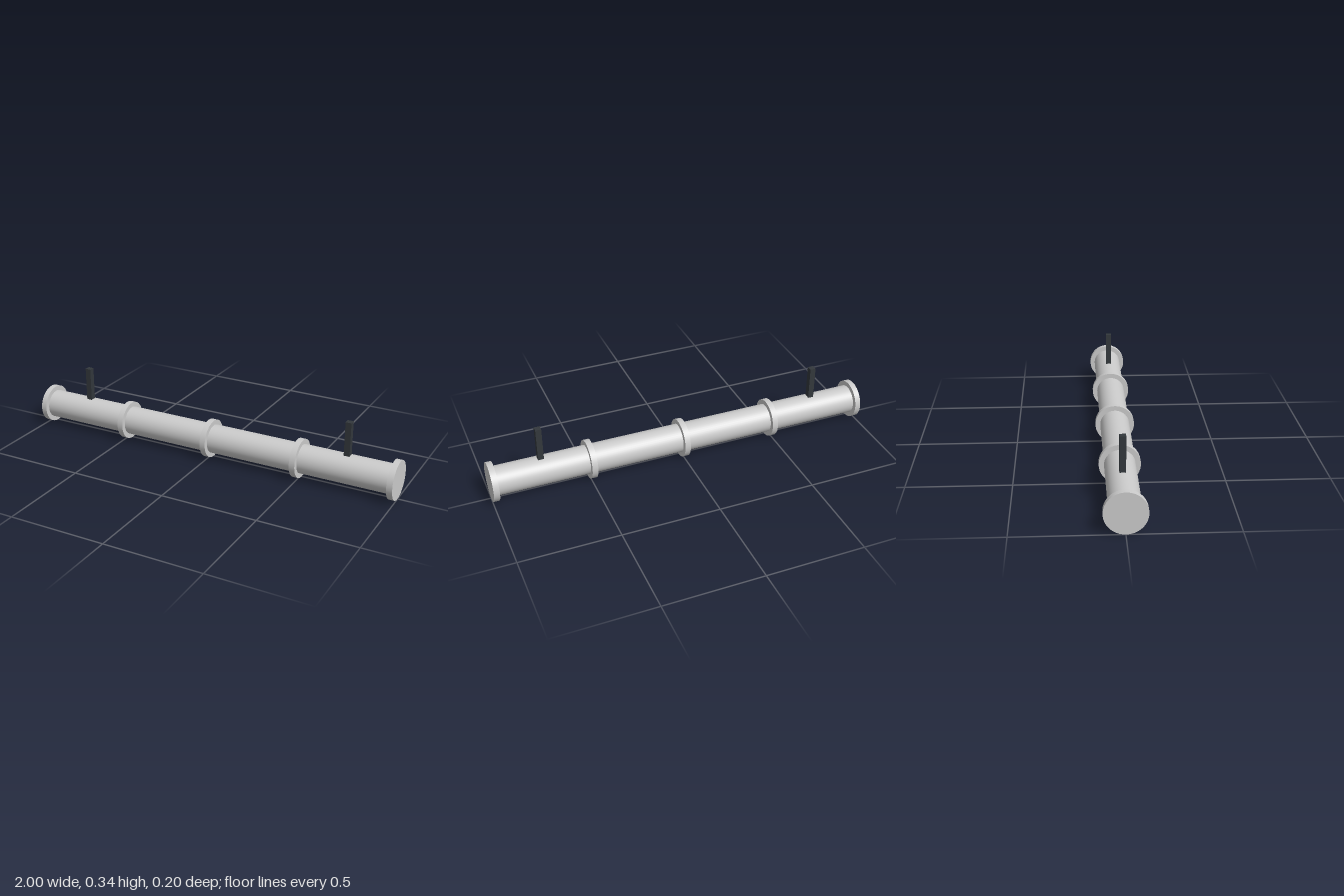
import * as THREE from 'three';

export function createModel() {
  const group = new THREE.Group();
  const grey = new THREE.MeshStandardMaterial({ color: 0xcccccc });
  const dark = new THREE.MeshStandardMaterial({ color: 0x33383c });
  const R = 0.0985; // flange radius, also the height of the pipe axis

  const add = (name, geometry, material, x, y) => {
    const mesh = new THREE.Mesh(geometry, material);
    mesh.name = name;
    mesh.position.set(x, y, 0);
    group.add(mesh);
  };
  // cylinder lying along x
  const rod = (radius, length) =>
    new THREE.CylinderGeometry(radius, radius, length, 48).rotateZ(Math.PI / 2);

  // long straight pipe
  add('pipe', rod(0.0739, 1.9704), grey, 0, R);

  // evenly spaced flanges, the outer two closing the ends
  for (let i = -2; i <= 2; i++) add('flange', rod(R, 0.0296), grey, i * 0.4926, R);

  // square hanger posts rising from the pipe
  const bottom = 0.148, top = 0.345;
  for (const side of [-1, 1]) {
    add('hanger', new THREE.BoxGeometry(0.0296, top - bottom, 0.0296), dark,
      side * 0.739, (top + bottom) / 2);
  }
  return group;
}
